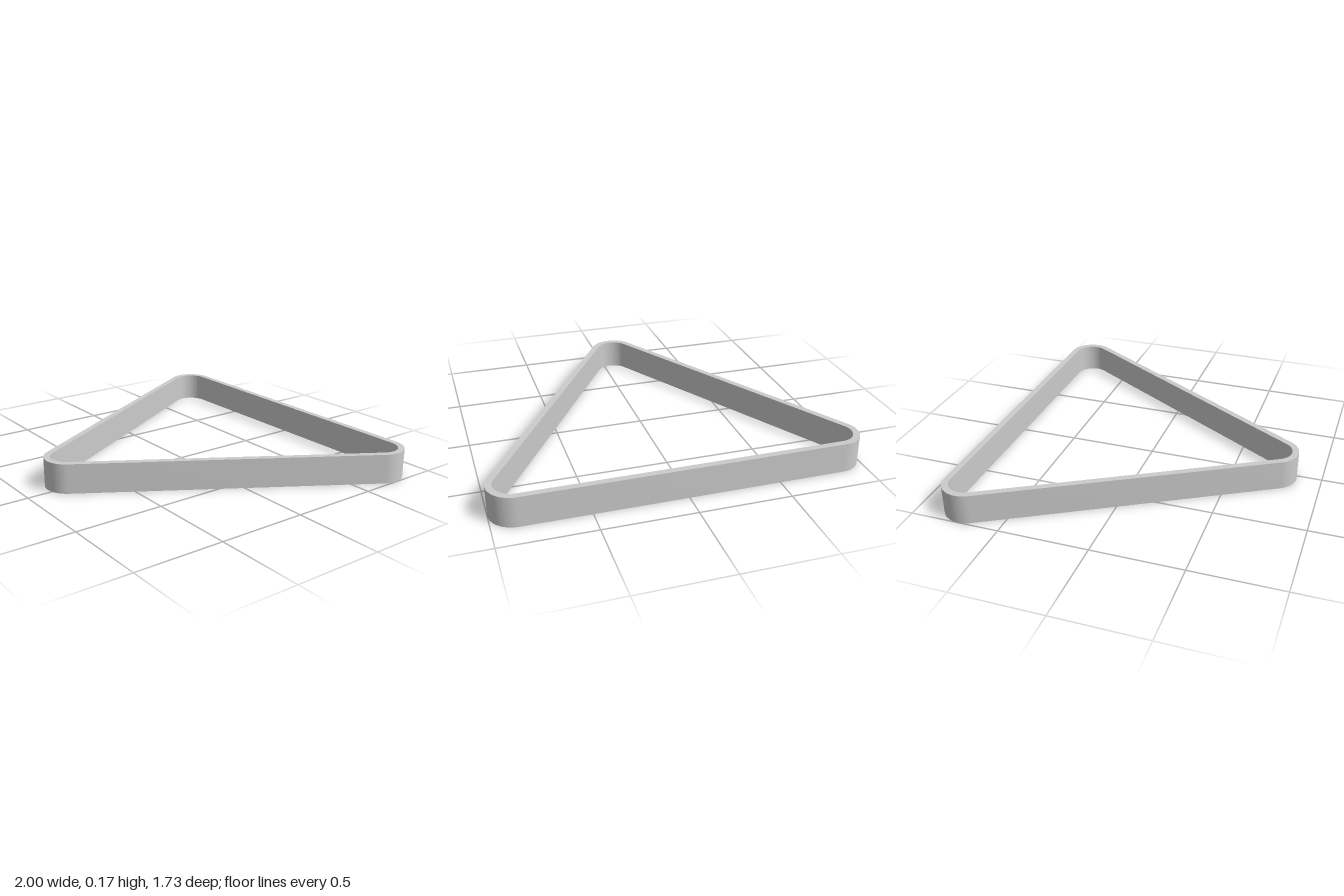
import * as THREE from 'three';
import { toCreasedNormals } from 'three/addons/utils/BufferGeometryUtils.js';

const HEIGHT = 0.167;
const OUTER_RADIUS = 0.135;
const WALL = 0.036;

// Corner centres in plan (x, -z), counter-clockwise; the front apex sits slightly off centre
const CORNERS = [
  new THREE.Vector2(-0.865, 0.728),
  new THREE.Vector2(-0.037, -0.728),
  new THREE.Vector2(0.865, 0.728),
];

// Triangle outline with every corner rounded to the given radius
function roundedTriangle(path, radius) {
  const n = CORNERS.length;
  const normalAngle = (a, b) => Math.atan2(-(b.x - a.x), b.y - a.y);
  CORNERS.forEach((c, i) => {
    const start = normalAngle(CORNERS[(i + n - 1) % n], c);
    const end = normalAngle(c, CORNERS[(i + 1) % n]);
    path.absarc(c.x, c.y, radius, start, end, false);
  });
  path.closePath();
  return path;
}

export function createModel() {
  const group = new THREE.Group();
  group.name = 'triangleRack';

  // Thin upright wall, open above and below
  const outline = roundedTriangle(new THREE.Shape(), OUTER_RADIUS);
  outline.holes.push(roundedTriangle(new THREE.Path(), OUTER_RADIUS - WALL));
  const extruded = new THREE.ExtrudeGeometry(outline, {
    depth: HEIGHT, bevelEnabled: false, curveSegments: 12,
  });
  extruded.rotateX(-Math.PI / 2);

  const frame = new THREE.Mesh(
    toCreasedNormals(extruded, 0.6),
    new THREE.MeshStandardMaterial({ color: 0xcccccc }),
  );
  frame.name = 'frame';
  group.add(frame);
  return group;
}
